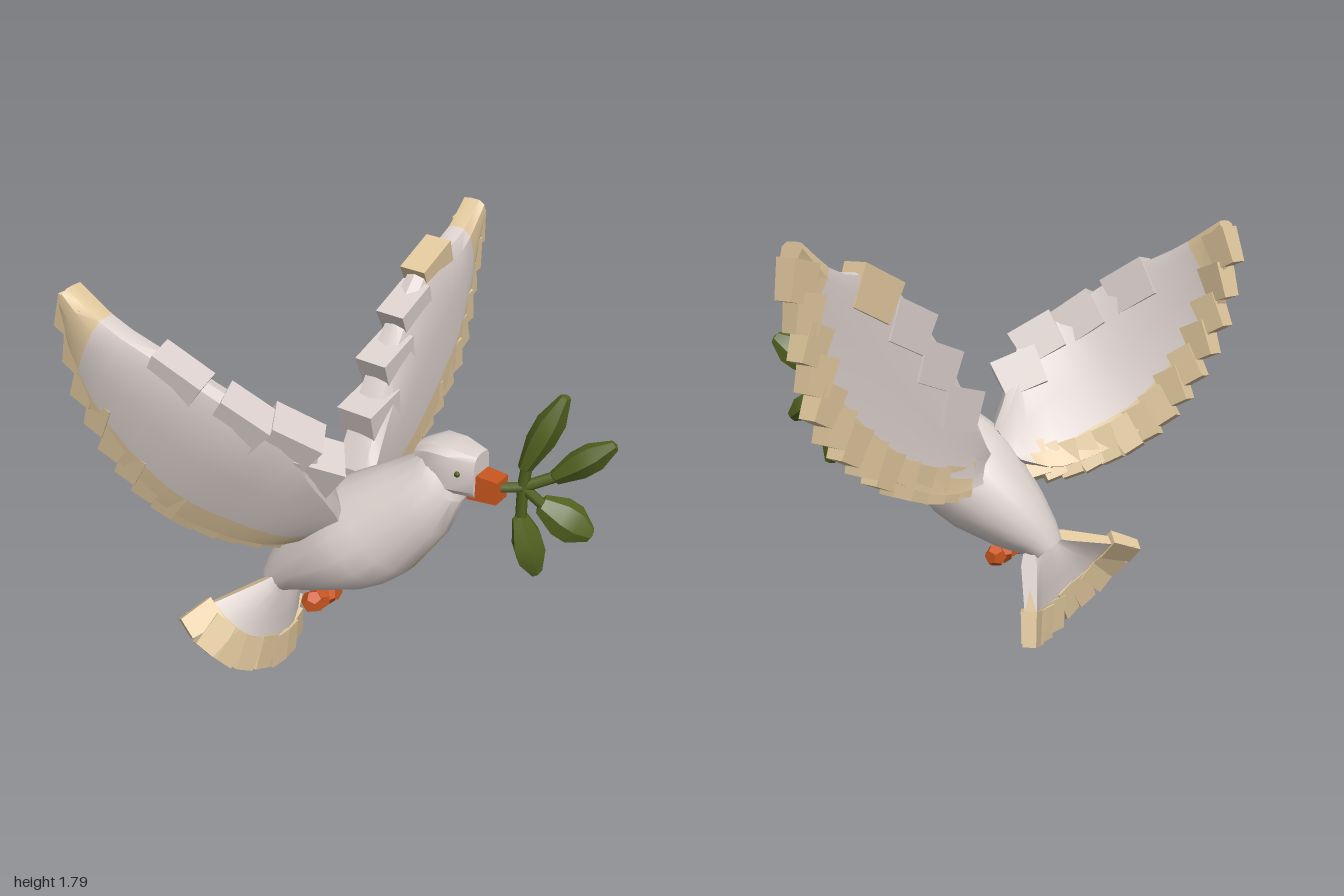
import * as THREE from 'three';
import { toCreasedNormals } from 'three/addons/utils/BufferGeometryUtils.js';

const V = (x, y, z) => new THREE.Vector3(x, y, z);
const UP = V(0, 1, 0);
const FORWARD = V(1, 0, 1).normalize();

function mat(name, color) {
  const m = new THREE.MeshStandardMaterial({ color });
  m.name = name;
  return m;
}

// Closed skin over rings of points, capped at both ends; paint(i, j) picks the material index
function loft(rings, paint = () => 0, crease = 0.6) {
  const n = rings[0].length, last = rings.length - 1;
  const pts = rings.flat();
  const faces = [[], []];
  const add = (k, ...t) => faces[k].push(t);
  for (let i = 0; i < last; i++) for (let j = 0; j < n; j++) {
    const a = i * n + j, b = i * n + (j + 1) % n, k = paint(i, j);
    add(k, a, b, b + n);
    add(k, a, b + n, a + n);
  }
  for (const i of [0, last]) {
    const c = pts.length;
    pts.push(rings[i].reduce((s, p) => s.add(p), V(0, 0, 0)).divideScalar(n));
    for (let j = 0; j < n; j++) {
      const a = i * n + j, b = i * n + (j + 1) % n;
      add(paint(i, j), c, ...(i ? [a, b] : [b, a]));
    }
  }
  // Turn all faces outward
  let vol = 0;
  for (const t of faces.flat()) vol += pts[t[0]].dot(pts[t[1]].clone().cross(pts[t[2]]));
  if (vol < 0) faces.flat().forEach((t) => t.reverse());
  const g = new THREE.BufferGeometry().setFromPoints(pts);
  g.setIndex(faces.flat(2));
  g.addGroup(0, faces[0].length * 3, 0);
  g.addGroup(faces[0].length * 3, faces[1].length * 3, 1);
  return toCreasedNormals(g, crease);
}

// Rounded cross-section around a centre; power below 1 makes it squarer
function ring(c, dir, w, h, seg, power = 1) {
  const side = dir.clone().cross(UP).normalize();
  const up = side.clone().cross(dir).normalize();
  const sq = (v) => Math.sign(v) * Math.abs(v) ** power;
  return Array.from({ length: seg }, (_, j) => {
    const a = (j / seg) * Math.PI * 2;
    return c.clone().addScaledVector(side, w * sq(Math.cos(a))).addScaledVector(up, h * sq(Math.sin(a)));
  });
}

// Block tapering towards +y
function block(w, l, d, taper) {
  const g = new THREE.BoxGeometry(w, l, d), p = g.attributes.position;
  for (let i = 0; i < p.count; i++) if (p.getY(i) > 0) p.setXYZ(i, p.getX(i) * taper, p.getY(i), p.getZ(i) * taper);
  g.computeVertexNormals();
  return g;
}

// Feathered fan between a leading edge and a trailing edge
function feathered(name, lead, trail, o) {
  const group = new THREE.Group();
  group.name = name;
  const A = new THREE.CatmullRomCurve3(lead), B = new THREE.CatmullRomCurve3(trail);
  const frame = (t) => {
    const a = A.getPoint(t), b = B.getPoint(t);
    const chord = b.clone().sub(a), y = chord.clone().normalize();
    const x = B.getTangent(t).addScaledVector(A.getTangent(t), 0.5);
    x.addScaledVector(y, -x.dot(y)).normalize();
    return { a, b, chord, x, y, z: x.clone().cross(y), thick: o.thick * (1 + o.root * (1 - t) ** 2) };
  };
  const half = [[0.02, 0.7], [0.15, 1], [0.45, 0.85], [o.band, 0.75], [0.95, 0.7]];
  const profile = [[0, 0], ...half, ...half.map(([c, h]) => [c, -h]).reverse()];
  const rings = [];
  for (let i = 0; i <= o.count; i++) {
    const f = frame(i / o.count);
    rings.push(profile.map(([c, h]) => f.a.clone().addScaledVector(f.chord, c)
      .addScaledVector(f.z, h * f.thick + o.camber * Math.sin(Math.PI * c))));
  }
  const paint = (i, j) => ((i >= o.start && j >= 4 && j <= 6) || i >= o.count - o.tip ? 1 : 0);
  const skin = new THREE.Mesh(loft(rings, paint, 0.5), [o.plain, o.edge]);
  skin.name = name + 'Skin';
  group.add(skin);
  const plume = (label, f, origin, geo, m, turn) => {
    const mesh = new THREE.Mesh(geo, m);
    mesh.matrix.makeBasis(f.x, f.y, f.z).setPosition(origin);
    mesh.matrix.decompose(mesh.position, mesh.quaternion, mesh.scale);
    mesh.rotateZ(turn);
    mesh.rotateY(turn);
    mesh.name = label;
    group.add(mesh);
  };
  // Feather tips along the trailing edge
  const w = (B.getLength() / o.count) * 1.12;
  for (let i = o.start; i < o.count; i++) {
    const f = frame((i + 0.5) / o.count);
    plume('featherTip', f, f.b.clone().addScaledVector(f.y, -0.06), block(w, 0.15, o.tipThick, 0.82), o.edge, i % 2 ? 0.16 : 0.04);
  }
  // Stepped coverts along the leading edge
  o.coverts.forEach((m, i) => {
    const f = frame(0.22 + 0.15 * i);
    plume('covert', f, f.a.clone().addScaledVector(f.y, 0.075), block(0.21, 0.17, f.thick * 2.1, 0.9), m, 0.07);
  });
  return group;
}

export function createModel() {
  const model = new THREE.Group();
  model.name = 'bird';
  const plain = mat('paleFeathers', 0xdcd1cd), edge = mat('tanFeathers', 0xe0c79d);
  const orange = mat('orange', 0xc8561f), leaf = mat('leafGreen', 0x536220), dark = mat('eyeDark', 0x4c5a1c);
  const add = (name, geo, m, parent = model) => {
    const mesh = new THREE.Mesh(geo, m);
    mesh.name = name;
    parent.add(mesh);
    return mesh;
  };

  // Body from tail root to neck, with a tan strip on the belly: x, y, z, half width, half depth
  const spine = [[-0.19, 0.41, 0.06, 0.09, 0.07], [-0.15, 0.46, 0.08, 0.12, 0.1], [-0.07, 0.53, 0.12, 0.165, 0.15],
    [0.06, 0.64, 0.2, 0.225, 0.21], [0.13, 0.705, 0.245, 0.23, 0.23], [0.2, 0.77, 0.29, 0.21, 0.23],
    [0.33, 0.92, 0.375, 0.155, 0.18], [0.4, 1.03, 0.415, 0.12, 0.13], [0.41, 1.1, 0.41, 0.085, 0.09]];
  const centres = spine.map(([x, y, z]) => V(x, y, z));
  const bodyRings = spine.map((s, i) => {
    const dir = centres[Math.min(i + 1, 7)].clone().sub(centres[Math.max(Math.min(i, 7) - 1, 0)]).normalize();
    return ring(centres[i], dir, s[3], s[4], 16);
  });
  add('body', loft(bodyRings, (i, j) => (i >= 3 && i <= 5 && (j === 11 || j === 12) ? 1 : 0)), [plain, edge]);

  // Squarish head, beak and eyes
  const head = [[0.35, 1.08, 0.07, 0.08], [0.4, 1.095, 0.1, 0.1], [0.46, 1.095, 0.095, 0.1], [0.53, 1.085, 0.06, 0.092]];
  add('head', loft(head.map(([p, y, w, h]) => ring(V(p, y, p - 0.005), FORWARD, w, h, 12, 0.55))), plain);
  const beak = add('beak', block(0.1, 0.12, 0.11, 0.85), orange);
  beak.rotation.set(Math.PI / 2, Math.PI / 4, 0, 'YXZ');
  beak.position.set(0.555, 1.04, 0.54);
  for (const s of [-1, 1]) {
    const eye = add(s < 0 ? 'leftEye' : 'rightEye', new THREE.SphereGeometry(0.012, 8, 6), dark);
    eye.position.set(0.488 - s * 0.056, 1.1, 0.484 + s * 0.056);
  }

  // Wings
  const wing = { count: 15, start: 1, band: 0.78, thick: 0.052, root: 0.9, tipThick: 0.105, camber: 0.02, tip: 2,
    coverts: [plain, plain, plain, plain], plain, edge };
  model.add(feathered('rightWing',
    [V(0.04, 0.87, 0.28), V(-0.05, 1.11, 0.4), V(-0.12, 1.28, 0.47), V(-0.3, 1.38, 0.48), V(-0.55, 1.55, 0.41), V(-0.78, 1.68, 0.28), V(-0.92, 1.79, 0.15)],
    [V(-0.08, 0.74, 0.2), V(-0.24, 0.7, 0.21), V(-0.45, 0.76, 0.21), V(-0.65, 0.88, 0.19), V(-0.8, 1.08, 0.17), V(-0.91, 1.35, 0.14), V(-0.95, 1.69, 0.12)],
    wing));
  const flat = (z, y) => V(0.16 - 0.94 * z, y, z);
  model.add(feathered('leftWing',
    [flat(0.04, 0.88), flat(-0.03, 1.07), flat(-0.12, 1.28), flat(-0.23, 1.47), flat(-0.37, 1.63), flat(-0.54, 1.67), flat(-0.66, 1.78)],
    [flat(0.02, 0.72), flat(-0.11, 0.7), flat(-0.28, 0.76), flat(-0.45, 0.9), flat(-0.59, 1.09), flat(-0.64, 1.36), flat(-0.68, 1.64)],
    { ...wing, camber: -0.02, coverts: [plain, plain, plain, edge] }));

  // Cupped tail fan
  model.add(feathered('tail',
    [V(-0.1, 0.42, 0.0), V(-0.13, 0.43, 0.04), V(-0.16, 0.42, 0.07), V(-0.18, 0.42, 0.1), V(-0.19, 0.43, 0.12), V(-0.2, 0.45, 0.13), V(-0.21, 0.46, 0.13)],
    [V(-0.1, 0.06, -0.14), V(-0.12, 0.03, -0.02), V(-0.19, 0.02, 0.1), V(-0.3, 0.08, 0.22), V(-0.42, 0.15, 0.29), V(-0.53, 0.26, 0.3), V(-0.61, 0.37, 0.24)],
    { ...wing, count: 9, start: 0, band: 0.66, thick: 0.035, root: 0, tipThick: 0.07, camber: 0, tip: 0, coverts: [] }));

  // Curled feet, a row of toes
  const feet = new THREE.Group();
  feet.name = 'feet';
  for (let i = 0; i < 4; i++) {
    const toe = add('toe', new THREE.DodecahedronGeometry(0.05, 0), orange, feet);
    toe.position.set(-0.065 + 0.031 * i, 0.38 - 0.006 * i, 0.24 - 0.032 * i);
    toe.rotation.y = i;
  }
  model.add(feet);

  // Leafy twig held in the beak
  const twig = new THREE.Group();
  twig.name = 'twig';
  const node = V(0.67, 1.06, 0.605);
  const stem = (a, b) => add('stem', new THREE.TubeGeometry(new THREE.LineCurve3(a, b), 1, 0.022, 6), leaf, twig);
  stem(V(0.57, 1.04, 0.56), node);
  const outline = [[0, 0], [0.04, 0.04], [0.078, 0.4], [0.078, 0.66], [0.03, 0.97], [0, 1]];
  const leaves = [[V(0.665, 1.13, 0.61), V(0.8, 1.44, 0.625)], [V(0.77, 1.1, 0.635), V(0.99, 1.25, 0.68)],
    [V(0.73, 1.0, 0.63), V(0.93, 0.87, 0.69)], [V(0.665, 0.94, 0.6), V(0.755, 0.67, 0.615)]];
  for (const [a, b] of leaves) {
    stem(node, a.clone().lerp(b, 0.1));
    const len = a.distanceTo(b);
    const g = new THREE.LatheGeometry(outline.map(([r, y]) => new THREE.Vector2(r, y * len)), 6, Math.PI / 6);
    g.scale(1, 1, 0.62);
    const y = b.clone().sub(a).normalize();
    const z = V(0.8, 0, 1).addScaledVector(y, -V(0.8, 0, 1).dot(y)).normalize();
    const blade = add('leaf', toCreasedNormals(g, 0.5), leaf, twig);
    blade.quaternion.setFromRotationMatrix(new THREE.Matrix4().makeBasis(y.clone().cross(z), y, z));
    blade.position.copy(a);
  }
  model.add(twig);

  return model;
}
